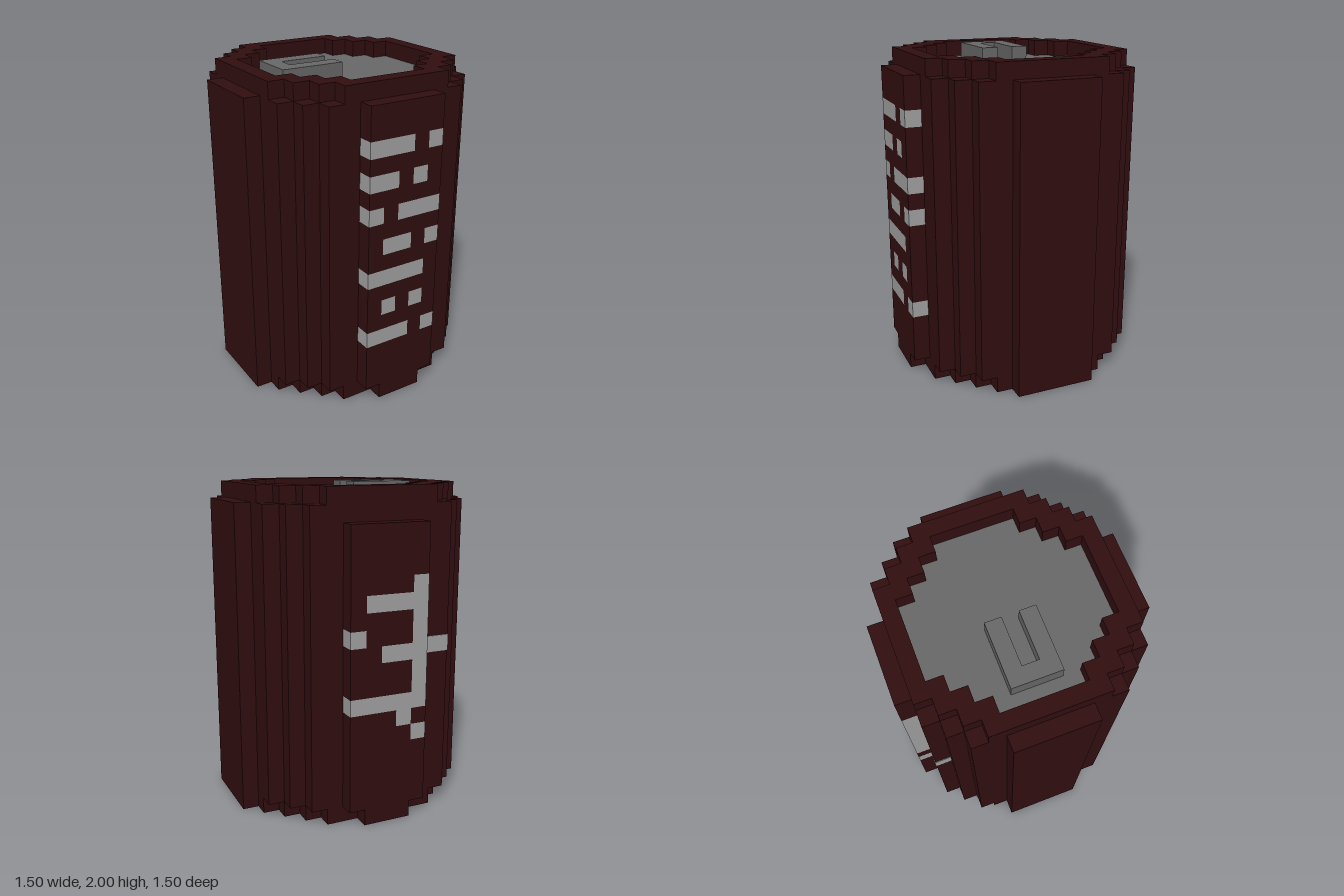
import * as THREE from 'three';

const U = 0.1; // block size

const material = (name, color) => {
  const m = new THREE.MeshStandardMaterial({ color });
  m.name = name;
  return m;
};

// Stepped round outline: rows of [half width, z end], mirrored to all four quarters
function outline(rows) {
  const q = [];
  let z = 0;
  rows.forEach(([hx, end], i) => {
    if (i > 0) q.push([hx, z]);
    q.push([hx, end]);
    z = end;
  });
  const back = [...q].reverse();
  return [
    ...q,
    ...back.map(([x, y]) => [-x, y]),
    ...q.map(([x, y]) => [-x, -y]),
    ...back.map(([x, y]) => [x, -y]),
  ].map(([x, y]) => new THREE.Vector2(x, y));
}

const SHELL = outline([[0.75, 0.25], [0.65, 0.45], [0.55, 0.55], [0.45, 0.65]]);
const RIM = outline([[0.65, 0.35], [0.55, 0.45], [0.45, 0.55], [0.35, 0.65]]);
const CORE = outline([[0.55, 0.25], [0.45, 0.35], [0.35, 0.45], [0.25, 0.55]]);

// Upright prism from y0 to y1, optionally hollow
function prism(name, points, y0, y1, mat, hole) {
  const shape = new THREE.Shape(points);
  if (hole) shape.holes.push(new THREE.Path(hole));
  const geo = new THREE.ExtrudeGeometry(shape, { depth: y1 - y0, bevelEnabled: false });
  geo.rotateX(-Math.PI / 2).translate(0, y0, 0);
  const mesh = new THREE.Mesh(geo, mat);
  mesh.name = name;
  return mesh;
}

// Box given by its limits on each axis
function box(name, [x0, x1], [y0, y1], [z0, z1], mat) {
  const mesh = new THREE.Mesh(new THREE.BoxGeometry(x1 - x0, y1 - y0, z1 - z0), mat);
  mesh.position.set((x0 + x1) / 2, (y0 + y1) / 2, (z0 + z1) / 2);
  mesh.name = name;
  return mesh;
}

// Pale blocks by height row, listed from -x to +x
const FRONT_MARKS = {
  16: '###.#', 14: '##.#.', 12: '#.###', 10: '.##.#',
  8: '####.', 6: '.#.#.', 4: '###.#',
};
const BACK_MARKS = {
  14: '#....', 13: '####.', 12: '#....', 11: '#...#', 10: '###..',
  9: '#....', 8: '#....', 7: '#####', 6: '.#...', 5: '#....',
};

// Raised panel laid in rows, each split into runs of one colour
function panel(name, marks, topRow, z, body, pale) {
  const g = new THREE.Group();
  g.name = name;
  for (let row = 1; row < topRow; row++) {
    for (const run of (marks[row] || '.....').matchAll(/#+|[.]+/g)) {
      const isMark = run[0][0] === '#';
      const x0 = -0.25 + run.index * U;
      g.add(box(isMark ? 'paleBar' : 'panelBlock', [x0, x0 + run[0].length * U],
        [row * U, (row + 1) * U], z, isMark ? pale : body));
    }
  }
  return g;
}

export function createModel() {
  const model = new THREE.Group();
  model.name = 'can';
  const body = material('darkRed', 0x320e10);
  const metal = material('metalGrey', 0x696969);
  const pale = material('paleGrey', 0xa3a3a3);

  // Shell, rims and the metal core that forms the lid and base
  model.add(
    prism('shell', SHELL, 0.1, 1.9, body, CORE),
    prism('topRim', RIM, 1.9, 2, body, CORE),
    prism('bottomRim', RIM, 0, 0.1, body, CORE),
    prism('lidAndBase', CORE, 0.1, 1.9, metal),
  );

  // Lower ends of the raised panels
  for (const s of [-1, 1]) {
    const side = box('sidePanelFoot', [-0.05, 0.05], [0, 0.1], [-0.25, 0.25], body);
    side.position.x = s * 0.7;
    const end = box('endPanelFoot', [-0.15, 0.15], [0, 0.1], [-0.05, 0.05], body);
    end.position.z = s * 0.7;
    model.add(side, end);
  }

  // Front and back panels with pale blocks
  model.add(
    panel('frontPanel', FRONT_MARKS, 19, [0.65, 0.75], body, pale),
    panel('backPanel', BACK_MARKS, 18, [-0.75, -0.65], body, pale),
    box('backSideBar', [-0.454, -0.25], [1, 1.1], [-0.654, -0.55], pale),
  );

  // U-shaped pull tab
  const tab = [[-0.45, -0.15], [-0.05, -0.15], [-0.05, -0.05], [-0.35, -0.05],
    [-0.35, 0.05], [-0.05, 0.05], [-0.05, 0.15], [-0.45, 0.15]];
  model.add(prism('pullTab', tab.map((p) => new THREE.Vector2(...p)), 1.9, 2, metal));

  return model;
}
